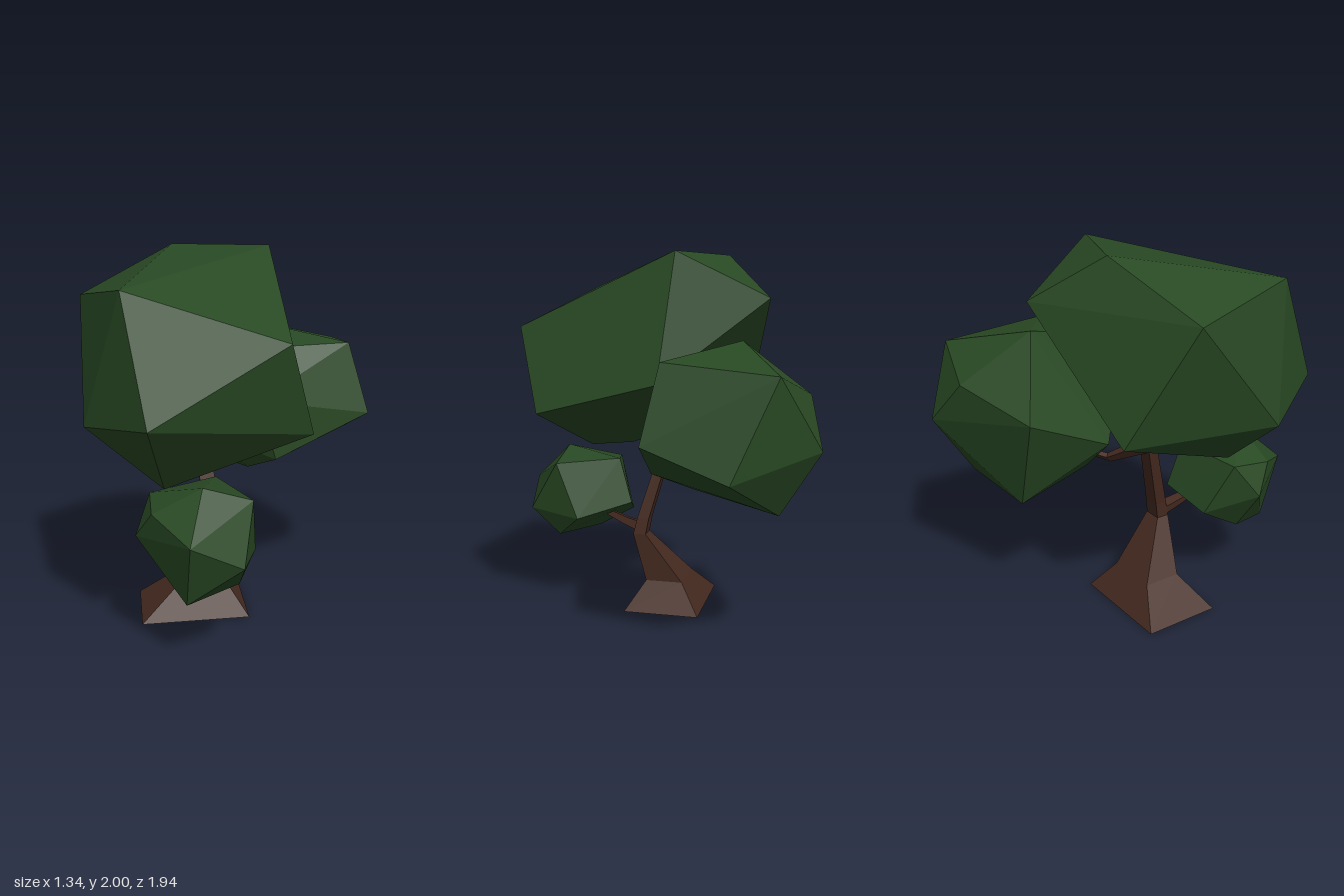
import * as THREE from 'three';
import { ConvexGeometry } from 'three/addons/geometries/ConvexGeometry.js';

const bark = new THREE.MeshStandardMaterial({ color: 0x452a20, flatShading: true });
const leaf = new THREE.MeshStandardMaterial({ color: 0x284823, flatShading: true });

// Four-sided cross-section, as offsets from the centre of the limb
const SECTION = [[-0.35, 0.085], [-0.03, 0.365], [0.35, -0.085], [0.03, -0.365]];

// Lofts the section through rings of [x, y, z, scale], square to the given axis
function limb(name, axis, rings) {
  const turn = new THREE.Quaternion().setFromUnitVectors(
    new THREE.Vector3(0, 1, 0), new THREE.Vector3(...axis).normalize());
  const loops = rings.map(([x, y, z, s]) => SECTION.map(([a, b]) =>
    new THREE.Vector3(a * s, 0, b * s).applyQuaternion(turn).add(new THREE.Vector3(x, y, z))));
  const points = [];
  const quad = (a, b, c, d) => points.push(a, b, c, a, c, d);
  for (let r = 0; r < loops.length - 1; r++) {
    for (let i = 0; i < 4; i++) {
      const j = (i + 1) % 4;
      quad(loops[r][i], loops[r][j], loops[r + 1][j], loops[r + 1][i]);
    }
  }
  quad(...[...loops[0]].reverse());
  quad(...loops[loops.length - 1]);
  const geometry = new THREE.BufferGeometry().setFromPoints(points);
  geometry.computeVertexNormals();
  const mesh = new THREE.Mesh(geometry, bark);
  mesh.name = name;
  return mesh;
}

// Faceted clump of leaves wrapped around a few corner points
function clump(name, corners) {
  const mesh = new THREE.Mesh(
    new ConvexGeometry(corners.map((p) => new THREE.Vector3(...p))), leaf);
  mesh.name = name;
  return mesh;
}

export function createModel() {
  const tree = new THREE.Group();
  tree.name = 'tree';

  // Trunk with a flared foot, leaning one way and then the other
  tree.add(limb('trunk', [0, 1, 0], [
    [-0.16, 0, 0.215, 1],
    [-0.13, 0.16, 0.185, 0.49],
    [0.04, 0.43, 0.205, 0.17],
    [0.02, 0.52, 0.2, 0.16],
    [-0.13, 0.97, 0.18, 0.13],
    [-0.1, 1.2, 0.18, 0.12],
  ]));

  // Side branches that carry the smaller clumps
  tree.add(limb('frontBranch', [0.6, 0.3, 0.8], [
    [0.03, 0.46, 0.21, 0.13],
    [0.09, 0.485, 0.28, 0.1],
    [0.17, 0.53, 0.38, 0.07],
  ]));
  tree.add(limb('backBranch', [0.1, -0.4, -0.9], [
    [-0.13, 0.93, 0.18, 0.13],
    [-0.1, 0.815, -0.04, 0.07],
    [-0.09, 0.84, -0.2, 0.06],
  ]));

  tree.add(clump('mainCanopy', [
    [-0.44, 2, 0.05], [0.04, 2, -0.2], [0.01, 1.84, 0.84], [0.67, 1.61, 0.4],
    [0.66, 1.15, 0.21], [0.31, 1.25, 0.97], [-0.25, 1.16, 0.87], [-0.64, 1.75, 0.54],
    [-0.67, 1.13, 0.19], [-0.45, 1.76, -0.35], [0.18, 1.32, -0.26],
    [0.13, 0.88, 0.7], [-0.1, 0.89, 0.61],
  ]));

  tree.add(clump('frontClump', [
    [0.31, 0.905, 0.62], [0.47, 0.83, 0.43], [0.12, 0.85, 0.32], [-0.04, 0.81, 0.64],
    [0.14, 0.78, 0.8], [0.43, 0.69, 0.835], [0.56, 0.55, 0.6], [0.33, 0.35, 0.76],
    [0.43, 0.4, 0.49], [0.1, 0.385, 0.65], [-0.045, 0.51, 0.485], [0.08, 0.6, 0.25],
    [0.39, 0.52, 0.32], [0, 0.63, 0.78],
  ]));

  tree.add(clump('backClump', [
    [0.445, 1.07, -0.6], [0.32, 1.46, -0.57], [-0.09, 1.405, -0.97], [0.14, 0.91, -0.91],
    [-0.345, 1.04, -0.96], [-0.44, 1.29, -0.735], [-0.22, 0.71, -0.79], [-0.44, 0.65, -0.425],
    [-0.6, 1.17, -0.3], [-0.24, 1.545, -0.415], [0.1, 1.45, -0.28], [0.15, 0.84, -0.14],
    [-0.09, 0.74, -0.18], [-0.25, 0.96, 0], [0.1, 1.18, -0.05],
  ]));

  return tree;
}
